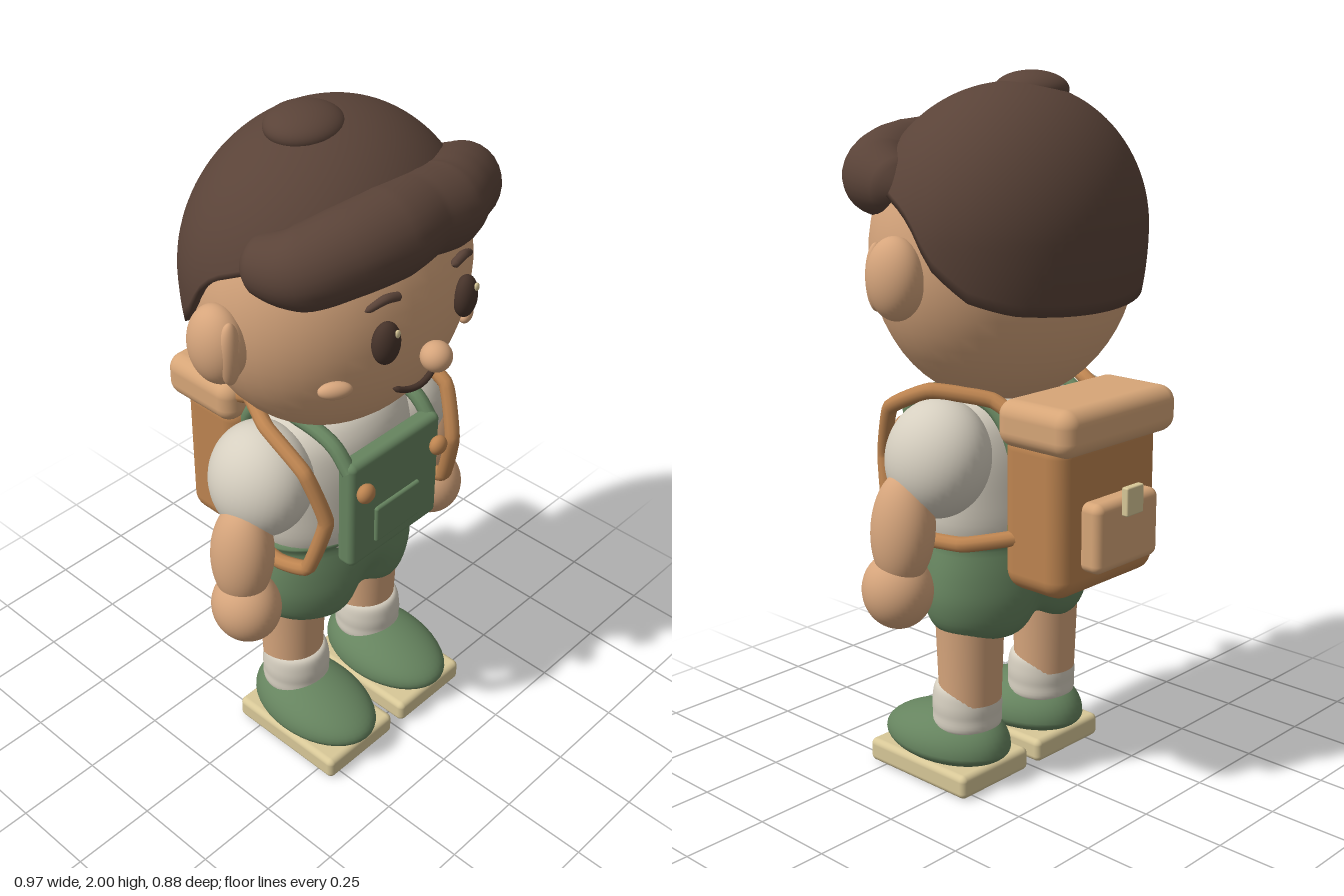
import * as THREE from 'three';
import { mergeVertices } from 'three/addons/utils/BufferGeometryUtils.js';
import { RoundedBoxGeometry } from 'three/addons/geometries/RoundedBoxGeometry.js';

const mat = (name, color) => Object.assign(new THREE.MeshStandardMaterial({ color }), { name });
const skin = mat('skin', 0xd6a57c);
const brown = mat('hair brown', 0x5a4338);
const dark = mat('eye brown', 0x46332a);
const green = mat('overall green', 0x66845f);
const white = mat('shirt white', 0xd6cfc0);
const leather = mat('leather', 0xbd8450);
const tan = mat('light leather', 0xd7a678);
const cream = mat('sole cream', 0xd8c898);

const V = (x, y, z) => new THREE.Vector3(x, y, z);

// Drops seams and rebuilds smooth normals after vertices are moved
function smooth(geo) {
  geo.deleteAttribute('uv');
  geo.deleteAttribute('normal');
  const g = mergeVertices(geo, 1e-5);
  g.computeVertexNormals();
  return g;
}

// Moves every vertex by a rule
function warp(geo, rule) {
  const p = geo.attributes.position, v = V(0, 0, 0);
  for (let i = 0; i < p.count; i++) {
    v.fromBufferAttribute(p, i);
    rule(v, i);
    p.setXYZ(i, v.x, v.y, v.z);
  }
  return smooth(geo);
}

function add(parent, name, geo, material, x = 0, y = 0, z = 0) {
  const m = new THREE.Mesh(geo, material);
  m.name = name;
  m.position.set(x, y, z);
  parent.add(m);
  return m;
}

function ball(parent, name, material, [x, y, z], [rx, ry, rz]) {
  const m = add(parent, name, new THREE.SphereGeometry(1, 40, 28), material, x, y, z);
  m.scale.set(rx, ry, rz);
  return m;
}

function box(parent, name, material, [x, y, z], [w, h, d], r) {
  return add(parent, name, new RoundedBoxGeometry(w, h, d, 4, r), material, x, y, z);
}

// Tube whose radius follows a list, one value per path point
function taper(points, radii, rings = 64, sides = 20) {
  const curve = new THREE.CatmullRomCurve3(points);
  const geo = new THREE.TubeGeometry(curve, rings, 1, sides);
  return warp(geo, (v, i) => {
    const u = Math.floor(i / (sides + 1)) / rings;
    const c = curve.getPointAt(u);
    const f = curve.getUtoTmapping(u) * (radii.length - 1);
    const k = Math.min(Math.floor(f), radii.length - 2);
    const r = THREE.MathUtils.lerp(radii[k], radii[k + 1], f - k);
    v.sub(c).multiplyScalar(r).add(c);
  });
}

function lathe(points, segments = 48) {
  const curve = new THREE.SplineCurve(points.map(([x, y]) => new THREE.Vector2(x, y)));
  return new THREE.LatheGeometry(curve.getPoints(36).map(p => p.setX(Math.max(p.x, 0))), segments);
}

// Hair shell: the lower edge rises from the nape towards the temples
function hairCap() {
  const cy = 1.58, rows = 36;
  const edge = [[-1, 1.39], [-0.75, 1.405], [-0.5, 1.44], [-0.25, 1.52], [-0.06, 1.63], [0.1, 1.67], [0.3, 1.7], [1, 1.72]];
  const edgeY = c => {
    const k = Math.max(1, edge.findIndex(e => e[0] >= c - 1e-6));
    const [a, b] = [edge[k - 1], edge[k]];
    return THREE.MathUtils.mapLinear(c, a[0], b[0], a[1], b[1]);
  };
  const height = c => (c > 0 ? 0.395 : 0.6);
  const geo = new THREE.SphereGeometry(1, 72, rows, 0, Math.PI * 2, 0, 3);
  const cols = 73;
  return warp(geo, (v, i) => {
    const row = Math.floor(i / cols), phi = (i % cols) / (cols - 1) * Math.PI * 2;
    const front = Math.sin(phi), dy = edgeY(front) - cy;
    const theta = Math.acos(dy / height(dy)) * Math.min(1, row / (rows - 1));
    const r = Math.sin(theta) * (row === rows ? 0.84 : 1), c = Math.cos(theta);
    v.set(-Math.cos(phi) * r * 0.415, cy + c * height(c), front * r * (front > 0 ? 0.37 : 0.335));
  });
}

function buildHead() {
  const head = new THREE.Group();
  head.name = 'head';
  ball(head, 'skull', skin, [0, 1.525, 0.03], [0.405, 0.425, 0.337]);
  add(head, 'hair', hairCap(), brown);
  ball(head, 'bun', brown, [-0.07, 1.95, 0], [0.107, 0.052, 0.1]);
  add(head, 'fringe', taper(
    [V(-0.34, 1.7, 0.04), V(-0.33, 1.71, 0.1), V(-0.3, 1.73, 0.21), V(-0.2, 1.755, 0.265), V(-0.08, 1.765, 0.287),
      V(0.03, 1.765, 0.28), V(0.13, 1.755, 0.277), V(0.21, 1.755, 0.25), V(0.295, 1.73, 0.2), V(0.33, 1.71, 0.1), V(0.34, 1.7, 0.04)],
    [0.001, 0.075, 0.105, 0.112, 0.117, 0.109, 0.115, 0.105, 0.108, 0.075, 0.001], 90, 28), brown);

  const face = new THREE.Group();
  face.name = 'face';
  face.position.x = -0.008;
  head.add(face);
  ball(face, 'nose', skin, [0, 1.425, 0.397], [0.042, 0.041, 0.042]);
  add(face, 'mouth', taper(
    [V(-0.083, 1.335, 0.327), V(-0.075, 1.331, 0.333), V(-0.04, 1.316, 0.341), V(0, 1.311, 0.345),
      V(0.04, 1.316, 0.341), V(0.075, 1.331, 0.333), V(0.083, 1.335, 0.327)],
    [0.001, 0.008, 0.009, 0.009, 0.009, 0.008, 0.001], 32, 10), dark);
  for (const s of [-1, 1]) {
    ball(face, 'eye', dark, [s * 0.151, 1.52, 0.36], [0.04, 0.06, 0.03]).rotation.y = s * 0.2;
    ball(face, 'eyeGlint', cream, [s * 0.151 + 0.013, 1.55, 0.384], [0.01, 0.012, 0.006]);
    add(face, 'eyebrow', taper(
      [V(s * 0.097, 1.63, 0.355), V(s * 0.105, 1.631, 0.355), V(s * 0.145, 1.638, 0.35), V(s * 0.19, 1.622, 0.335), V(s * 0.198, 1.618, 0.33)],
      [0.001, 0.012, 0.013, 0.009, 0.001], 24, 10), brown);
    ball(face, 'cheek', skin, [s * 0.252, 1.393, 0.285], [0.045, 0.024, 0.022]).rotation.y = s * 0.6;
    ball(head, 'ear', skin, [s * 0.415, 1.49, 0.03], [0.068, 0.11, 0.085]);
    ball(head, 'innerEar', skin, [s * 0.427, 1.49, 0.088], [0.032, 0.09, 0.026]);
  }
  return head;
}

function buildBody() {
  const body = new THREE.Group();
  body.name = 'body';
  // Shirt
  add(body, 'shirt', smooth(lathe([[0, 0.68], [0.2, 0.69], [0.26, 0.76], [0.27, 0.88], [0.265, 1], [0.235, 1.09], [0.16, 1.145], [0, 1.16]])), white, 0, 0, 0.03).scale.z = 0.68;
  // Shorts, with the hem lifted and pinched between the legs
  const shorts = lathe([[0, 0.445], [0.12, 0.442], [0.21, 0.447], [0.265, 0.485], [0.287, 0.56], [0.281, 0.64], [0.262, 0.72], [0.25, 0.76], [0, 0.78]], 72);
  add(body, 'shorts', warp(shorts, v => {
    const mid = Math.exp(-((v.x / 0.075) ** 2)), low = THREE.MathUtils.smoothstep(0.68 - v.y, 0, 0.2);
    v.z *= 0.65 * (1 - 0.2 * mid * low);
    v.y += 0.045 * mid * low;
  }), green, 0, 0, 0.025);
  // Bib
  box(body, 'bib', green, [0, 0.915, 0.245], [0.36, 0.35, 0.06], 0.02);
  box(body, 'bibPocket', green, [0, 0.85, 0.276], [0.18, 0.12, 0.02], 0.008);

  for (const s of [-1, 1]) {
    const at = (x, y, z) => V(s * x, y, z);
    ball(body, 'bibButton', leather, [s * 0.148, 1.005, 0.295], [0.029, 0.029, 0.022]);
    add(body, 'bibStrap', new THREE.TubeGeometry(new THREE.CatmullRomCurve3(
      [at(0.165, 1.06, 0.25), at(0.165, 1.12, 0.19), at(0.165, 1.145, 0.06), at(0.165, 1.12, -0.08), at(0.16, 1, -0.155), at(0.15, 0.75, -0.14)]), 40, 0.022, 10), green);
    // Arms
    ball(body, 'sleeve', white, [s * 0.275, 0.985, 0.025], [0.135, 0.165, 0.155]).rotation.z = s * 0.25;
    ball(body, 'arm', skin, [s * 0.382, 0.8, 0.055], [0.082, 0.165, 0.095]).rotation.z = s * 0.1;
    ball(body, 'hand', skin, [s * 0.39, 0.625, 0.072], [0.095, 0.108, 0.103]);
    // Legs
    add(body, 'leg', new THREE.CylinderGeometry(0.1, 0.09, 0.28, 36), skin, s * 0.16, 0.39, 0.022);
    add(body, 'sock', lathe([[0, 0.3], [0.06, 0.299], [0.09, 0.29], [0.1, 0.25], [0.1, 0.21], [0.09, 0.16], [0, 0.15]].reverse(), 36), white, s * 0.16, 0, 0.035);
    const shoe = new THREE.SphereGeometry(1, 40, 28);
    add(body, 'shoe', warp(shoe, v => {
      v.y *= v.y > 0 ? 0.105 - 0.03 * v.z : 0.06;
      v.x *= 0.142;
      v.z *= 0.215;
    }), green, s * 0.16, 0.1, 0.115);
    box(body, 'sole', cream, [s * 0.158, 0.035, 0.115], [0.275, 0.07, 0.39], 0.018);
  }
  return body;
}

function buildBackpack() {
  const pack = new THREE.Group();
  pack.name = 'backpack';
  box(pack, 'packBody', leather, [0, 0.86, -0.25], [0.42, 0.45, 0.22], 0.055);
  box(pack, 'packFlap', tan, [0, 1.105, -0.272], [0.47, 0.13, 0.265], 0.045);
  box(pack, 'packPocket', tan, [0, 0.808, -0.385], [0.26, 0.195, 0.075], 0.025);
  box(pack, 'packClasp', cream, [0, 0.9, -0.43], [0.07, 0.08, 0.022], 0.005);
  for (const s of [-1, 1]) {
    const path = [[0.17, 1.08, -0.24], [0.19, 1.15, -0.1], [0.275, 1.168, 0.05], [0.285, 1.1, 0.2], [0.26, 0.95, 0.255],
      [0.285, 0.78, 0.21], [0.295, 0.75, 0.11], [0.28, 0.76, -0.07], [0.19, 0.785, -0.19]];
    const curve = new THREE.CatmullRomCurve3(path.map(([x, y, z]) => V(s * x, y, z)), false, 'catmullrom', 0.2);
    add(pack, 'shoulderStrap', new THREE.TubeGeometry(curve, 80, 0.022, 10), leather);
  }
  return pack;
}

export function createModel() {
  const model = new THREE.Group();
  model.name = 'boyWithBackpack';
  model.add(buildHead(), buildBody(), buildBackpack());
  return model;
}
